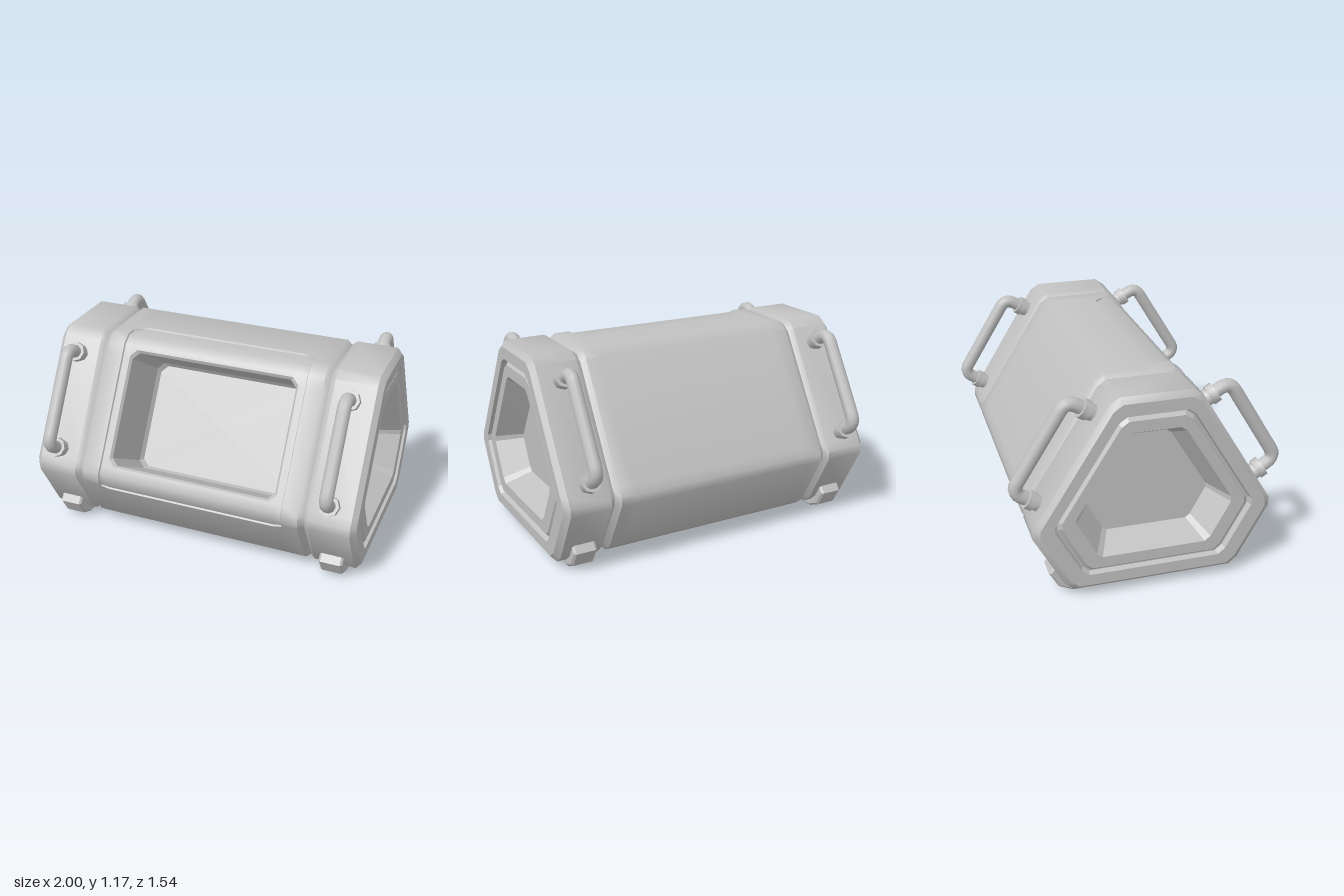
import * as THREE from 'three';
import { toCreasedNormals } from 'three/addons/utils/BufferGeometryUtils.js';

const V = (x, y, z) => new THREE.Vector3(x, y, z);
const CENTRE_Y = 0.597;
const HANDLE_X = 0.845;
const NORMAL = [0.849, 0.528]; // outward (z, y) of the sloping side

// Half cross-section [z, y, normal z, normal y], from the top to the underside
const A = [0.2, 1.173, 0.33, 1], B = [0.255, 1.135, 0.7, 0.75], C = [0.647, 0.5, 0.83, 0.56];
const D = [0.675, 0.455, 0.94, 0.33], E = [0.676, 0.405, 1, -0.2];
const F = [0.505, 0.09, 0.8, -0.6], G = [0.455, 0.048, 0.3, -1];
const HALF = [A, B, C, D, E, F, G];
const mirrored = [...HALF].reverse().map((p) => [-p[0], p[1]]);
const mix = (p, q, t) => [p[0] + (q[0] - p[0]) * t, p[1] + (q[1] - p[1]) * t];
const sink = (p, d) => [p[0] - p[2] * d, p[1] - p[3] * d];

// Skin a series of equal-length rings, optionally closing the last one
function loft(rings, crease, { close = false, skip = () => false } = {}) {
  const pos = [];
  const tri = (...ps) => ps.forEach((p) => pos.push(p.x, p.y, p.z));
  const n = rings[0].length;
  for (let i = 0; i < rings.length - 1; i++) {
    for (let j = 0; j < n; j++) {
      if (skip(i, j)) continue;
      const k = (j + 1) % n;
      const [a, b, c, d] = [rings[i][j], rings[i][k], rings[i + 1][k], rings[i + 1][j]];
      tri(a, b, c);
      tri(a, c, d);
    }
  }
  if (close) {
    const last = rings[rings.length - 1];
    const mid = last.reduce((s, p) => s.add(p), V(0, 0, 0)).divideScalar(n);
    last.forEach((p, j) => tri(p, last[(j + 1) % n], mid));
  }
  const g = new THREE.BufferGeometry();
  g.setAttribute('position', new THREE.Float32BufferAttribute(pos, 3));
  return toCreasedNormals(g, crease);
}

function part(name, geometry, material) {
  const m = new THREE.Mesh(geometry, material);
  m.name = name;
  return m;
}

// Body ring: the front panel sinks by r, a and e set where the panel starts and ends
function bodyRing(x, scale, r, a, e, t0, t1) {
  const b = sink(B, r), c = sink(C, r);
  const edge = mix(E, F, e), inner = mix(E, F, e - 0.012);
  const pts = [
    [a, 1.173], [a + 0.005, 1.173 - r], sink(A, r), b, mix(b, c, t0), mix(b, c, t1), c,
    sink(D, r), sink(E, r), [inner[0] - 0.87 * r, inner[1] + 0.48 * r], edge, F, G, ...mirrored,
  ];
  return pts.map(([z, y]) => V(x, CENTRE_Y + (y - CENTRE_Y) * scale, z * scale));
}

const SINK = 0.01, T0 = 0.035, T1 = 0.988, CUT = 0.055;

function makeBody(material) {
  const corner = [T0 + CUT, T1 - CUT];
  const stations = [
    [0.7, 0.96, 0, 0.13, 0.13, ...corner],
    [0.67, 1, 0, 0.13, 0.13, ...corner],
    [0.573, 1, 0, 0.13, 0.13, ...corner],
    [0.568, 1, SINK, 0.13, 0.13, ...corner],
    [0.525, 1, SINK, 0.085, 0.17, ...corner],
    [0.485, 1, SINK, 0.08, 0.175, T0, T1],
  ];
  const rings = [
    ...stations.map(([x, ...s]) => bodyRing(-x, ...s)),
    ...[...stations].reverse().map(([x, ...s]) => bodyRing(x, ...s)),
  ];
  // Leave the window open
  const skip = (i, j) => j === 4 && i >= 4 && i <= 6;
  return part('body', loft(rings, 0.7, { skip }), material);
}

// Deep window pocket behind the opening
function makeWindow(material) {
  const b = sink(B, SINK), c = sink(C, SINK);
  const octagon = ([w, t0, t1, depth]) => [
    [w, t1 - CUT], [w, t0 + CUT], [w - 0.04, t0], [0.04 - w, t0],
    [-w, t0 + CUT], [-w, t1 - CUT], [0.04 - w, t1], [w - 0.04, t1],
  ].map(([x, t]) => {
    const [z, y] = mix(b, c, t);
    return V(x, y - NORMAL[1] * depth, z - NORMAL[0] * depth);
  });
  const levels = [
    [0.525, T0, T1, 0], [0.512, 0.055, 0.972, 0.015],
    [0.5, 0.06, 0.965, 0.38], [0.485, 0.08, 0.945, 0.41],
  ];
  return part('windowPocket', loft(levels.map(octagon), 0.3, { close: true }), material);
}

// End cap: a smooth shell and a stepped rim with a tapering hollow
function makeCap(material) {
  const ring = ([x, s]) => [...HALF, ...mirrored].map(([z, y]) =>
    V(x, CENTRE_Y + (y - CENTRE_Y) * s, z * s));
  const shell = [[0.7, 0.96], [0.73, 1], [0.97, 1], [1, 0.945]];
  const hollow = [
    [1, 0.945], [1, 0.825], [0.97, 0.808], [0.97, 0.797],
    [0.99, 0.765], [0.99, 0.65], [0.84, 0.51],
  ];
  const cap = new THREE.Group();
  cap.name = 'endCap';
  cap.add(part('capShell', loft(shell.map(ring), 0.7), material));
  cap.add(part('capHollow', loft(hollow.map(ring), 0.3, { close: true }), material));
  return cap;
}

// Bent tube handle on two faceted sockets
function makeHandle(side, material) {
  const g = new THREE.Group();
  g.name = 'handle';
  const n = V(0, NORMAL[1], NORMAL[0] * side);
  const top = V(HANDLE_X, 1.045, 0.311 * side), low = V(HANDLE_X, 0.55, 0.616 * side);
  const q1 = top.clone().addScaledVector(n, 0.165), q2 = low.clone().addScaledVector(n, 0.165);
  const toward = (p, q, d) => p.clone().addScaledVector(q.clone().sub(p).normalize(), d);
  const path = new THREE.CurvePath();
  const k = 0.065;
  path.add(new THREE.LineCurve3(top, toward(q1, top, k)));
  path.add(new THREE.QuadraticBezierCurve3(toward(q1, top, k), q1, toward(q1, q2, k)));
  path.add(new THREE.LineCurve3(toward(q1, q2, k), toward(q2, q1, k)));
  path.add(new THREE.QuadraticBezierCurve3(toward(q2, q1, k), q2, toward(q2, low, k)));
  path.add(new THREE.LineCurve3(toward(q2, low, k), low));
  g.add(part('handleBar', new THREE.TubeGeometry(path, 48, 0.039, 10, false), material));
  for (const p of [top, low]) {
    for (const [name, radius, height, lift] of [['socketNeck', 0.048, 0.06, 0.01], ['socketRing', 0.058, 0.042, 0.052]]) {
      const m = part(name, toCreasedNormals(new THREE.CylinderGeometry(radius, radius, height, 8), 0.9), material);
      m.position.copy(p).addScaledVector(n, lift);
      m.quaternion.setFromUnitVectors(V(0, 1, 0), n);
      g.add(m);
    }
  }
  return g;
}

// Foot wrapped round a lower corner
function makeFoot(side, material) {
  const pts = [[0.54, 0.165], [0.566, 0.13], [0.517, 0.045], [0.445, 0.012], [0.358, 0.012],
    [0.325, 0.05], [0.44, 0.07], [0.49, 0.11]];
  const shape = new THREE.Shape(pts.map(([z, y]) => new THREE.Vector2(-z * side, y)));
  const geo = new THREE.ExtrudeGeometry(shape, {
    depth: 0.116, bevelEnabled: true, bevelThickness: 0.012, bevelSize: 0.012, bevelSegments: 1,
  });
  geo.rotateY(Math.PI / 2);
  geo.translate(HANDLE_X - 0.058, 0, 0);
  return part('foot', geo, material);
}

export function createModel() {
  const grey = new THREE.MeshStandardMaterial({ color: 0xc0c0c0 });
  grey.name = 'light grey';
  const model = new THREE.Group();
  model.name = 'container';
  model.add(makeBody(grey), makeWindow(grey));
  // Each end is the same assembly turned half round
  for (const [name, turn] of [['leftEnd', 0], ['rightEnd', Math.PI]]) {
    const end = new THREE.Group();
    end.name = name;
    end.add(makeCap(grey));
    for (const side of [1, -1]) end.add(makeHandle(side, grey), makeFoot(side, grey));
    end.rotation.y = turn;
    model.add(end);
  }
  return model;
}
